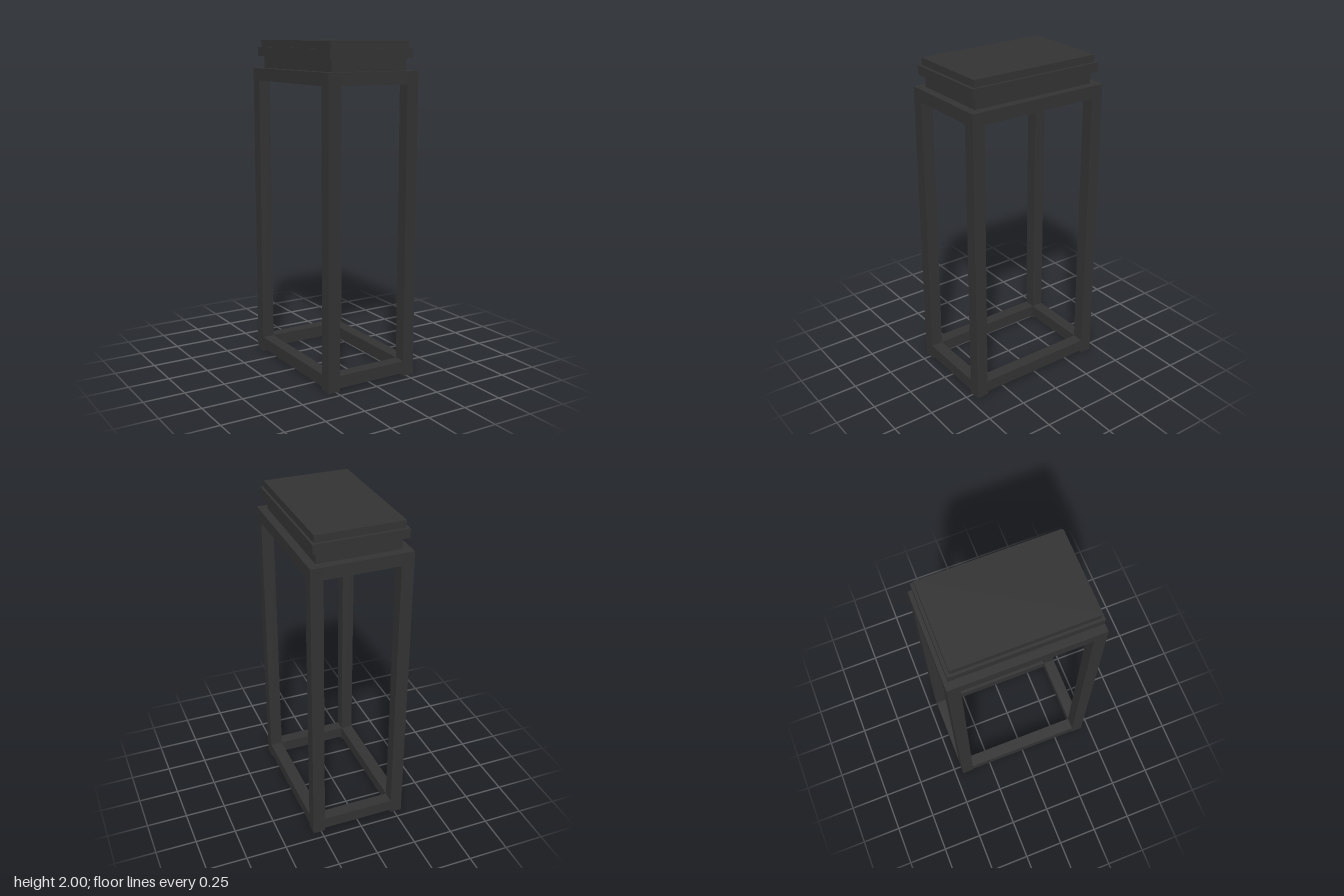
import * as THREE from 'three';

const material = new THREE.MeshStandardMaterial({ color: 0x333333 });

export function createModel() {
  const model = new THREE.Group();
  const W = 0.3, D = 0.45, BAR = 0.075; // half width, half depth, bar thickness

  const box = (name, w, h, d, x, y, z) => {
    const mesh = new THREE.Mesh(new THREE.BoxGeometry(w, h, d), material);
    mesh.name = name;
    mesh.position.set(x, y, z);
    model.add(mesh);
  };

  // Rectangular ring lying flat, given outer half sizes and wall thickness
  const ring = (name, w, d, wall, y0, y1) => {
    const rect = (Path, a, b) => new Path([[-a, -b], [a, -b], [a, b], [-a, b]].map(p => new THREE.Vector2(...p)));
    const shape = rect(THREE.Shape, w, d);
    shape.holes.push(rect(THREE.Path, w - wall, d - wall));
    const geometry = new THREE.ExtrudeGeometry(shape, { depth: y1 - y0, bevelEnabled: false });
    geometry.rotateX(-Math.PI / 2);
    const mesh = new THREE.Mesh(geometry, material);
    mesh.name = name;
    mesh.position.y = y0;
    model.add(mesh);
  };

  // Four corner posts
  for (const [side, sx] of [['Left', 1], ['Right', -1]])
    for (const [end, sz] of [['front', 1], ['back', -1]])
      box(`${end}${side}Post`, BAR, 1.83, BAR, sx * (W - BAR / 2), 0.915, sz * (D - BAR / 2));

  // Rails between the posts, low and high
  for (const [level, y] of [['lower', 0.0575], ['upper', 1.7925]])
    for (const s of [1, -1]) {
      box(`${level}${s > 0 ? 'Front' : 'Back'}Rail`, 2 * (W - BAR), BAR, BAR, 0, y, s * (D - BAR / 2));
      box(`${level}${s > 0 ? 'Left' : 'Right'}Rail`, BAR, BAR, 2 * (D - BAR), s * (W - BAR / 2), y, 0);
    }

  // Stepped crown: recessed neck, projecting band and closed cap
  ring('neck', 0.25, 0.4, 0.075, 1.83, 1.902);
  ring('band', 0.278, 0.43, 0.128, 1.902, 1.957);
  box('cap', 0.526, 0.043, 0.824, 0, 1.9785, 0);

  return model;
}
